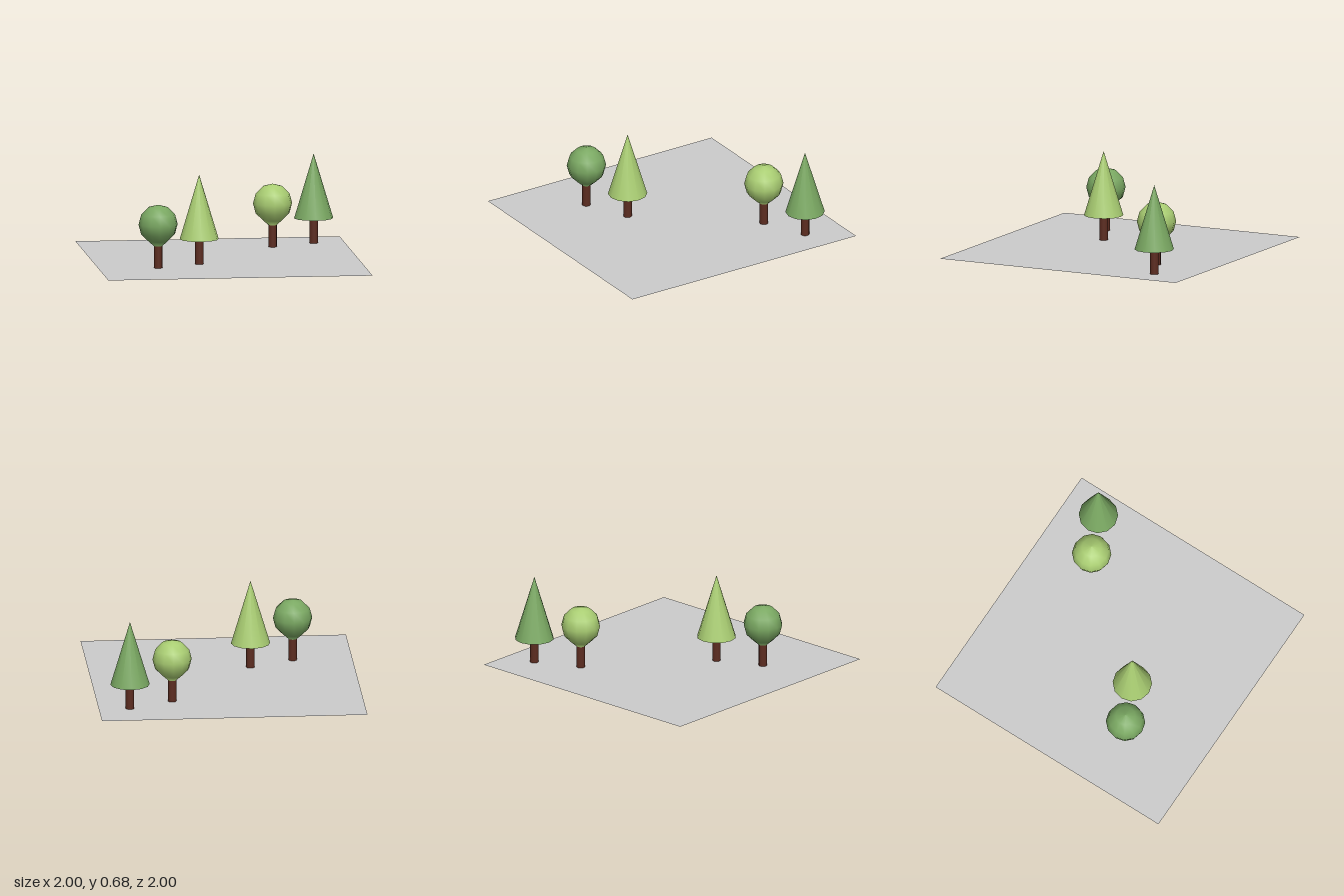
import * as THREE from 'three';

const SIDES = 12;
const CROWN_R = 0.148;
const material = (color, side = THREE.FrontSide) => new THREE.MeshStandardMaterial({ color, side });

export function createModel() {
  const model = new THREE.Group();
  const bark = material(0x5c2c20);
  const lightLeaf = material(0xa9cd72);
  const darkLeaf = material(0x7aa862);

  const add = (parent, name, geometry, mat, y = 0) => {
    const mesh = new THREE.Mesh(geometry, mat);
    mesh.name = name;
    mesh.position.y = y;
    parent.add(mesh);
    return mesh;
  };

  // Thin flat lawn
  const ground = add(model, 'ground', new THREE.PlaneGeometry(2, 2), material(0xcccccc, THREE.DoubleSide), 0.001);
  ground.rotation.x = -Math.PI / 2;

  // Ball crown: rings every 30 degrees, drawn into a neck that runs down inside the trunk
  const profile = [new THREE.Vector2(0, 0), new THREE.Vector2(0.029, 0), new THREE.Vector2(0.029, 0.165)];
  for (let i = 1; i <= 6; i++) {
    const a = (i * Math.PI) / 6;
    profile.push(new THREE.Vector2(i === 6 ? 0 : CROWN_R * Math.sin(a), 0.332 - CROWN_R * Math.cos(a)));
  }
  const ballCrown = new THREE.LatheGeometry(profile, SIDES);
  const coneCrown = new THREE.ConeGeometry(CROWN_R, 0.49, SIDES);

  const addTree = (name, x, z, leaf, isCone) => {
    const tree = new THREE.Group();
    tree.name = name;
    tree.position.set(x, 0, z);
    const height = isCone ? 0.2 : 0.17;
    add(tree, 'trunk', new THREE.CylinderGeometry(0.032, 0.032, height, SIDES), bark, height / 2 + 0.001);
    if (isCone) add(tree, 'coneCrown', coneCrown, leaf, 0.435);
    else add(tree, 'ballCrown', ballCrown, leaf);
    model.add(tree);
  };

  // Two pairs, each a round tree beside a conifer
  addTree('frontRoundTree', -0.55, 0.41, darkLeaf, false);
  addTree('frontConifer', -0.22, 0.255, lightLeaf, true);
  addTree('backRoundTree', 0.435, -0.54, lightLeaf, false);
  addTree('backConifer', 0.765, -0.695, darkLeaf, true);

  return model;
}
